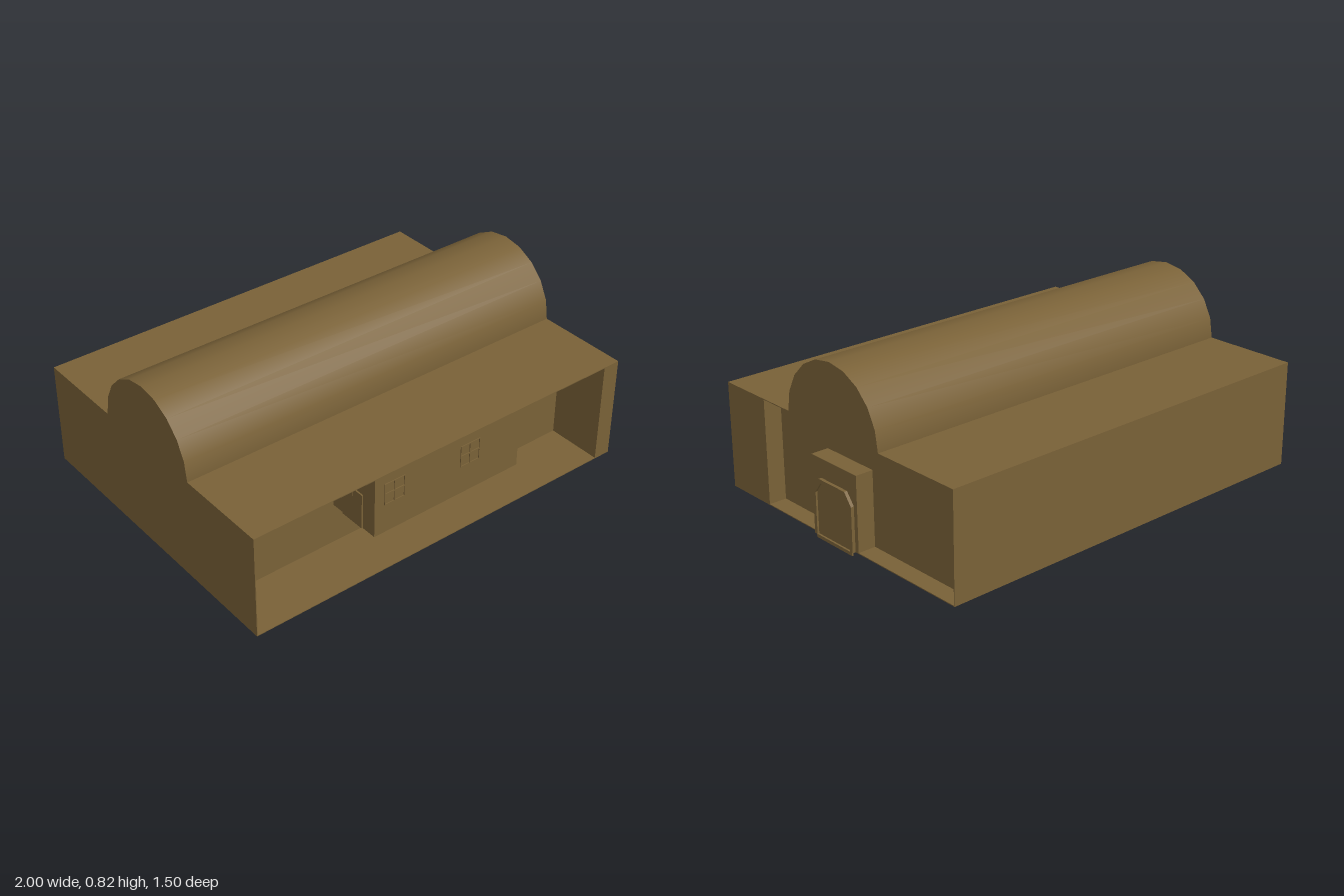
import * as THREE from 'three';

const material = new THREE.MeshStandardMaterial({ color: 0x7a6238, side: THREE.DoubleSide });

function add(parent, name, geometry) {
  const mesh = new THREE.Mesh(geometry, material);
  mesh.name = name;
  parent.add(mesh);
  return mesh;
}

// Box given by its minimum and maximum corners
function block(parent, name, [x0, y0, z0], [x1, y1, z1]) {
  const mesh = add(parent, name, new THREE.BoxGeometry(x1 - x0, y1 - y0, z1 - z0));
  mesh.position.set((x0 + x1) / 2, (y0 + y1) / 2, (z0 + z1) / 2);
  return mesh;
}

// Doorway outline with clipped upper corners
function archPoints(half, base, shoulder, top, topHalf) {
  return [[-half, base], [half, base], [half, shoulder], [topHalf, top], [-topHalf, top], [-half, shoulder]]
    .map(([x, y]) => new THREE.Vector2(x, y));
}

const extrude = (shape, depth) => new THREE.ExtrudeGeometry(shape, { depth, bevelEnabled: false });

export function createModel() {
  const model = new THREE.Group();
  model.name = 'building';

  const L = -1, R = 0.985, F = 0.75, B = -0.75;   // outer extents
  const Y0 = 0.022, Y1 = 0.52, T = 0.004;         // base, roof height, sheet thickness
  const WX = 0.9, WZ = 0.48;                      // recessed wall planes

  // Main volume with a porch along the front and the right side
  block(model, 'hall', [L, Y0 + T, B], [WX, Y1 - T, WZ]);
  block(model, 'floor', [L, Y0, B], [R, Y0 + T, F]);
  block(model, 'roof', [L, Y1 - T, B], [R, Y1, F]);
  block(model, 'cornerPillar', [WX, Y0 + T, WZ], [R, Y1 - T, F]);
  block(model, 'leftEndWall', [L, Y0 + T, WZ], [L + T, Y1 - T, F]);
  block(model, 'backEndWall', [WX, Y0 + T, B], [R, Y1 - T, B + T]);

  // Barrel vault: ten smooth facets, closed ends
  const vault = add(model, 'barrelVault',
    new THREE.CylinderGeometry(0.3, 0.3, R - L, 10, 1, false, 0, Math.PI));
  vault.rotation.z = Math.PI / 2;
  vault.position.set((L + R) / 2, Y1, 0);

  // Hanging bay under the front roof edge
  const BX0 = -0.403, BX1 = 0.392, BY = 0.226;
  block(model, 'frontBay', [BX0, BY, WZ], [BX1, Y1 - T, F]);

  // Cross-barred windows on the bay
  for (const x of [-0.3, 0.11]) {
    const frame = new THREE.Shape();
    const s = 0.053, bar = 0.003;
    frame.moveTo(-s, -s).lineTo(s, -s).lineTo(s, s).lineTo(-s, s).closePath();
    for (const cx of [-1, 1]) for (const cy of [-1, 1]) {
      const a = cx * bar, b = cx * (s - bar), c = cy * bar, d = cy * (s - bar);
      frame.holes.push(new THREE.Path([[a, c], [b, c], [b, d], [a, d]]
        .map(([u, v]) => new THREE.Vector2(u, v))));
    }
    const win = new THREE.Group();
    win.name = 'window';
    add(win, 'windowBars', extrude(frame, 0.004));
    win.position.set(x, 0.422, F);
    model.add(win);
  }

  // Double doors on both ends of the bay
  for (const side of [-1, 1]) {
    const door = new THREE.Group();
    door.name = side > 0 ? 'leftBayDoor' : 'rightBayDoor';
    for (const leaf of [-1, 1]) {
      const panel = block(door, 'doorLeaf', [-0.031, 0, 0], [0.031, 0.17, 0.007]);
      panel.position.x = leaf * 0.032;
    }
    door.position.set(side > 0 ? BX1 : BX0, BY + 0.002, 0.613);
    door.rotation.y = side * Math.PI / 2;
    model.add(door);
  }

  // Entrance block with a clipped-corner door surround
  block(model, 'entranceBlock', [WX, Y0 + T, -0.15], [R, 0.373, 0.15]);
  const entrance = new THREE.Group();
  entrance.name = 'entrance';
  const surround = new THREE.Shape(archPoints(0.129, Y0, 0.23, 0.285, 0.087));
  surround.holes.push(new THREE.Path(archPoints(0.112, Y0 + 0.001, 0.217, 0.267, 0.076)));
  add(entrance, 'doorSurround', extrude(surround, 0.015));
  add(entrance, 'doorPanel', extrude(new THREE.Shape(archPoints(0.113, 0, 0.217, 0.267, 0.076)), 0.006));
  block(entrance, 'doorJambFoot', [-0.128, 0, 0], [-0.112, Y0, 0.006]);
  entrance.position.x = R;
  entrance.rotation.y = Math.PI / 2;
  model.add(entrance);

  return model;
}
